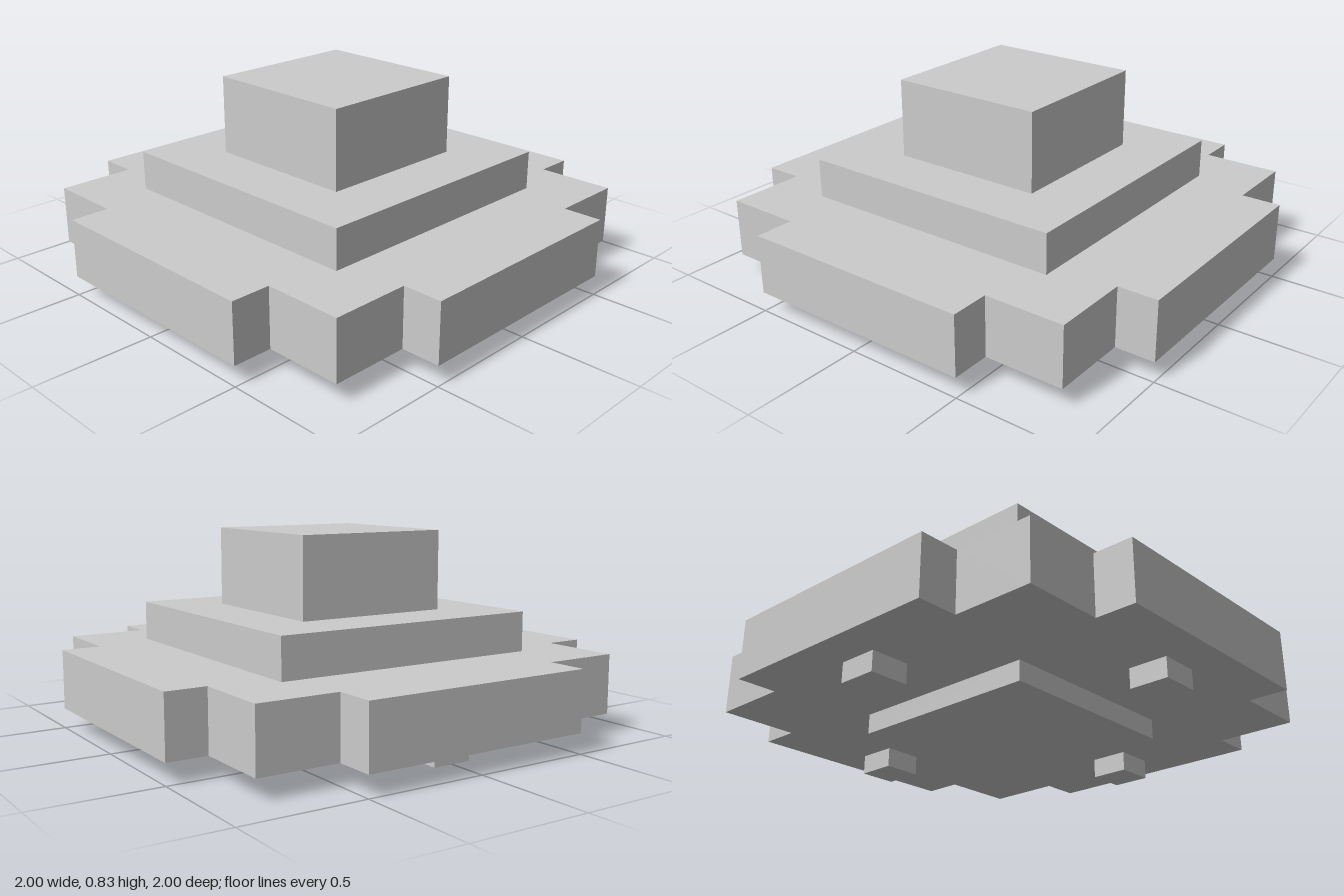
import * as THREE from 'three';

const U = 1 / 12; // every size is a whole number of these units

export function createModel() {
  const model = new THREE.Group();
  const material = new THREE.MeshStandardMaterial({ color: 0xcccccc, flatShading: true });

  const add = (name, geometry, x, y, z) => {
    const mesh = new THREE.Mesh(geometry, material);
    mesh.name = name;
    mesh.position.set(x * U, y * U, z * U);
    model.add(mesh);
  };

  // Square block standing on height y, sizes in units
  const block = (name, width, height, x, y, z) =>
    add(name, new THREE.BoxGeometry(width * U, height * U, width * U), x, y + height / 2, z);

  // Base plate: square with a wide tab on each side
  const quarter = [[12, -6], [12, 6], [10, 6], [10, 10], [6, 10]];
  const outline = [];
  for (let i = 0; i < 4; i++) {
    const c = Math.round(Math.cos(i * Math.PI / 2));
    const s = Math.round(Math.sin(i * Math.PI / 2));
    for (const [x, y] of quarter) {
      outline.push(new THREE.Vector2((x * c - y * s) * U, (x * s + y * c) * U));
    }
  }
  // The last corner of each quarter leads straight into the next tab
  const plate = new THREE.ExtrudeGeometry(new THREE.Shape(outline), { depth: 3 * U, bevelEnabled: false });
  plate.rotateX(-Math.PI / 2);
  add('basePlate', plate, 0, 1, 0);

  // Stepped top
  block('middleStep', 14, 2, 0, 4, 0);
  block('topBlock', 8, 4, 0, 6, 0);

  // Underside pad and one small foot below each tab
  block('bottomPad', 10, 1, 0, 0, 0);
  for (const [x, z] of [[9, 0], [-9, 0], [0, 9], [0, -9]]) {
    add('foot', new THREE.BoxGeometry(2 * U, U, 2 * U), x, 0.5, z);
  }

  return model;
}
